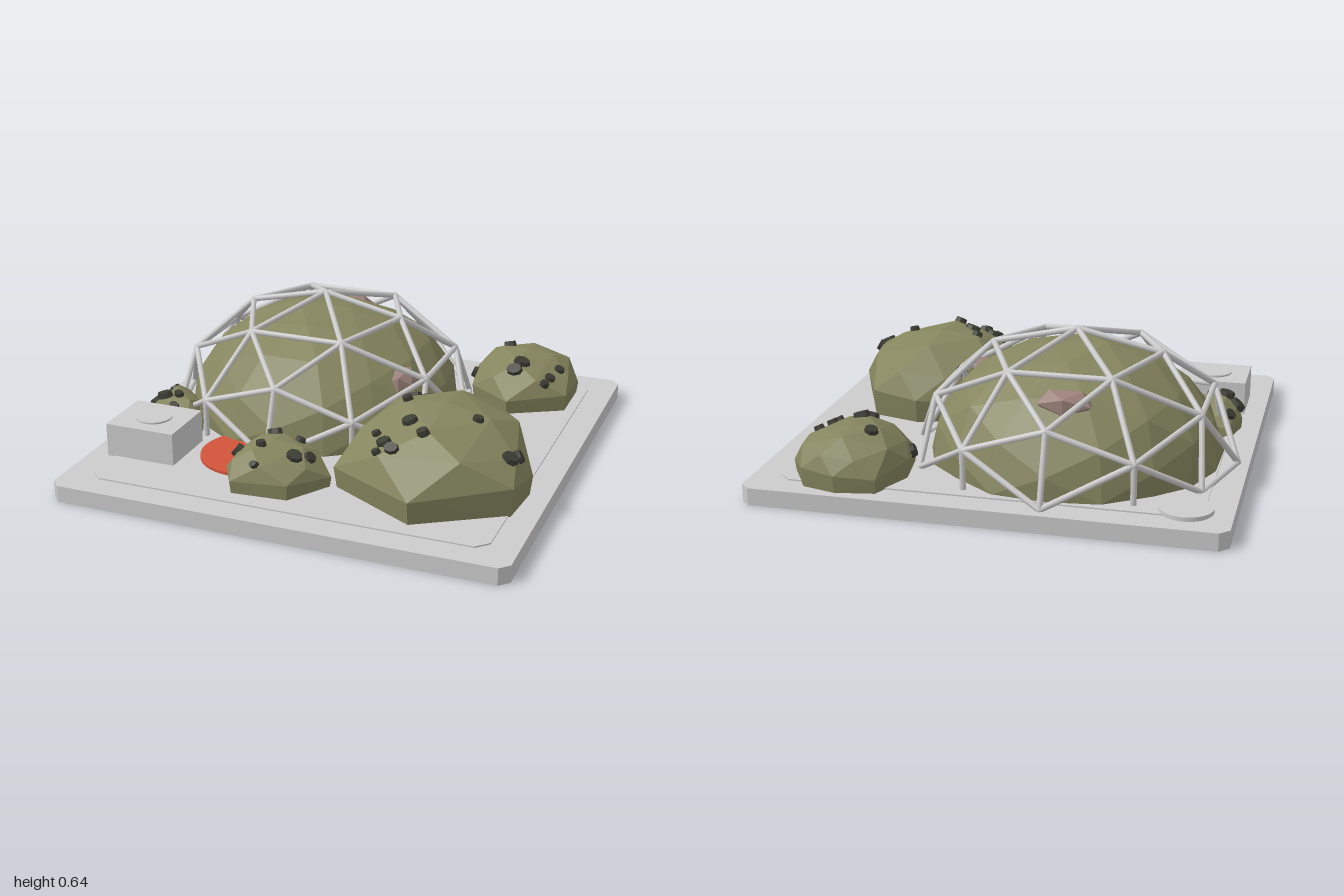
import * as THREE from 'three';
import { ConvexGeometry } from 'three/addons/geometries/ConvexGeometry.js';

const paint = (color, flatShading = false) => new THREE.MeshStandardMaterial({ color, flatShading });
const grey = paint(0xcccccc), olive = paint(0x85855f, true), dark = paint(0x3c3d33, true);
const pink = paint(0x9b827a, true), red = paint(0xd2553a);
const GROUND = 0.08;

function add(parent, name, geometry, material, x = 0, y = 0, z = 0) {
  const mesh = new THREE.Mesh(geometry, material);
  mesh.name = name;
  mesh.position.set(x, y, z);
  parent.add(mesh);
  return mesh;
}

// square plate with cut corners, lying flat with its underside at y = 0
function plate(half, cut, height) {
  const h = half, c = half - cut;
  const shape = new THREE.Shape([[c, -h], [h, -c], [h, c], [c, h], [-c, h], [-h, c], [-h, -c], [-c, -h]]
    .map(([x, y]) => new THREE.Vector2(x, y)));
  return new THREE.ExtrudeGeometry(shape, { depth: height, bevelEnabled: false }).rotateX(-Math.PI / 2);
}

// unique edges of a subdivided icosahedron, cut off just below the equator
function domeEdges() {
  const p = new THREE.IcosahedronGeometry(1, 1).attributes.position;
  const edges = new Map(), key = v => v.toArray().map(n => Math.round(n * 1000) + 0).join();
  for (let i = 0; i < p.count; i += 3) {
    for (let j = 0; j < 3; j++) {
      const a = new THREE.Vector3().fromBufferAttribute(p, i + j);
      const b = new THREE.Vector3().fromBufferAttribute(p, i + (j + 1) % 3);
      const [hi, lo] = a.y > b.y ? [a, b] : [b, a];
      if (lo.y < -0.01 && hi.y < 0.01) continue;
      const id = [key(a), key(b)].sort().join('|');
      if (lo.y < -0.04) lo.lerp(hi, (-0.04 - lo.y) / (hi.y - lo.y));
      edges.set(id, [hi, lo]);
    }
  }
  return [...edges.values()];
}

// faceted boulder: plan outline lofted through shrinking rings, with flat pebbles on its skin
function boulder(parent, name, outline, height, pebbles, size) {
  const group = new THREE.Group();
  group.name = name;
  parent.add(group);
  const n = outline.length;
  const cx = outline.reduce((s, p) => s + p[0], 0) / n;
  const cz = outline.reduce((s, p) => s + p[1], 0) / n;
  const points = [new THREE.Vector3(cx, GROUND + height, cz)];
  const put = (x, z, scale, level) => points.push(new THREE.Vector3(
    cx + (x - cx) * scale, GROUND + level * height, cz + (z - cz) * scale));
  outline.forEach(([x, z], i) => {
    const [x2, z2] = outline[(i + 1) % n];
    const wobble = 0.07 * Math.sin(i * 2.4);
    put(x, z, 0.97, -0.03);
    put(x, z, 1, 0.32 + wobble);
    put((x + x2) / 2, (z + z2) / 2, 0.9, 0.66 + wobble);
    if (i % 2 === 0) put(x, z, 0.5, 0.93 + wobble * 0.5);
  });
  const rock = add(group, name + 'Rock', new ConvexGeometry(points), olive);
  rock.updateMatrixWorld(true);

  const up = new THREE.Vector3(0, 1, 0);
  pebbles.forEach(([x, z], i) => {
    const ray = new THREE.Raycaster(new THREE.Vector3(x, 2, z), new THREE.Vector3(0, -1, 0));
    const hit = ray.intersectObject(rock)[0];
    if (!hit) return;
    const r = size * (0.85 + 0.25 * Math.sin(i * 1.9));
    const pebble = add(group, 'pebble', new THREE.CylinderGeometry(r * 0.85, r, 0.026, 8), dark);
    pebble.position.copy(hit.point).addScaledVector(hit.face.normal, 0.006);
    pebble.quaternion.setFromUnitVectors(up, hit.face.normal);
    pebble.scale.z = 0.8;
  });
}

export function createModel() {
  const model = new THREE.Group();
  model.name = 'domeHabitat';

  // base
  add(model, 'baseSlab', plate(1, 0.04, 0.075), grey);
  add(model, 'innerPlate', plate(0.88, 0.05, 0.008), grey, 0, 0.073, 0);

  // equipment box with cap, round pad and red landing disc
  add(model, 'equipmentBox', new THREE.BoxGeometry(0.32, 0.15, 0.28), grey, -0.75, 0.152, 0.52);
  add(model, 'boxCap', new THREE.CylinderGeometry(0.08, 0.08, 0.01, 32), grey, -0.75, 0.23, 0.52);
  add(model, 'roundPad', new THREE.CylinderGeometry(0.11, 0.11, 0.02, 32), grey, -0.81, 0.083, -0.81);
  add(model, 'redDisc', new THREE.CylinderGeometry(0.22, 0.22, 0.02, 40), red, -0.325, 0.084, 0.44);

  // dome: faceted mound inside a lattice of struts
  const dome = new THREE.Group();
  dome.name = 'dome';
  dome.position.set(-0.25, GROUND, -0.25);
  model.add(dome);

  const moundShape = new THREE.IcosahedronGeometry(0.635, 2);
  const p = moundShape.attributes.position;
  for (let i = 0; i < p.count; i++) {
    const x = p.getX(i), y = p.getY(i), z = p.getZ(i);
    const s = 1 + 0.018 * Math.sin(x * 9 + z * 5) * Math.cos(z * 8 - y * 6);
    p.setXYZ(i, x * s, Math.max(y * s * 0.78, -0.03), z * s);
  }
  moundShape.computeVertexNormals();
  add(dome, 'mound', moundShape, olive);

  const radius = new THREE.Vector3(0.7, 0.545, 0.7);
  const up = new THREE.Vector3(0, 1, 0);
  for (const [a, b] of domeEdges()) {
    a.multiply(radius);
    b.multiply(radius);
    const along = a.clone().sub(b);
    const strut = add(dome, 'strut', new THREE.CylinderGeometry(0.013, 0.013, along.length() + 0.008, 8), grey);
    strut.position.copy(a).add(b).multiplyScalar(0.5);
    strut.quaternion.setFromUnitVectors(up, along.normalize());
  }

  // pale outcrops on the mound
  for (const [x, y, z, sx, sy, sz] of [
    [-0.29, 0.43, -0.66, 0.13, 0.06, 0.08],
    [0.215, 0.335, -0.03, 0.065, 0.07, 0.09],
  ]) add(model, 'outcrop', new THREE.IcosahedronGeometry(1, 0), pink, x, y, z).scale.set(sx, sy, sz);

  // boulders: outline and pebble positions as [x, z]
  boulder(model, 'largeBoulder',
    [[0.53, -0.1], [0.75, -0.04], [0.92, 0.36], [0.9, 0.59], [0.53, 0.82], [0.13, 0.6], [0.16, 0.25], [0.27, -0.02]], 0.33,
    [[0.35, 0.04], [0.31, 0.1], [0.35, 0.3], [0.68, 0.37], [0.42, 0.47], [0.51, 0.57], [0.29, 0.51],
      [0.35, 0.59], [0.4, 0.64], [0.34, 0.65], [0.87, 0.43], [0.85, 0.48]], 0.036);
  boulder(model, 'backBoulder',
    [[0.6, -0.97], [0.75, -0.93], [0.84, -0.78], [0.84, -0.53], [0.59, -0.39], [0.38, -0.55], [0.35, -0.75], [0.43, -0.94]], 0.21,
    [[0.5, -0.77], [0.61, -0.58], [0.77, -0.66], [0.75, -0.56], [0.59, -0.53], [0.37, -0.65], [0.74, -0.5]], 0.038);
  boulder(model, 'frontBoulder',
    [[-0.15, 0.4], [-0.02, 0.45], [0.12, 0.6], [0, 0.79], [-0.25, 0.81], [-0.33, 0.67], [-0.29, 0.52]], 0.18,
    [[-0.09, 0.43], [-0.17, 0.52], [-0.05, 0.53], [-0.17, 0.66], [-0.02, 0.66], [0.03, 0.62], [-0.15, 0.77], [-0.29, 0.63]], 0.035);
  boulder(model, 'leftBoulder',
    [[-0.88, 0.02], [-0.77, 0.06], [-0.63, 0.29], [-0.74, 0.355], [-0.88, 0.32], [-0.92, 0.2]], 0.14,
    [[-0.87, 0.09], [-0.89, 0.23], [-0.78, 0.23], [-0.77, 0.3], [-0.84, 0.25]], 0.036);

  return model;
}
